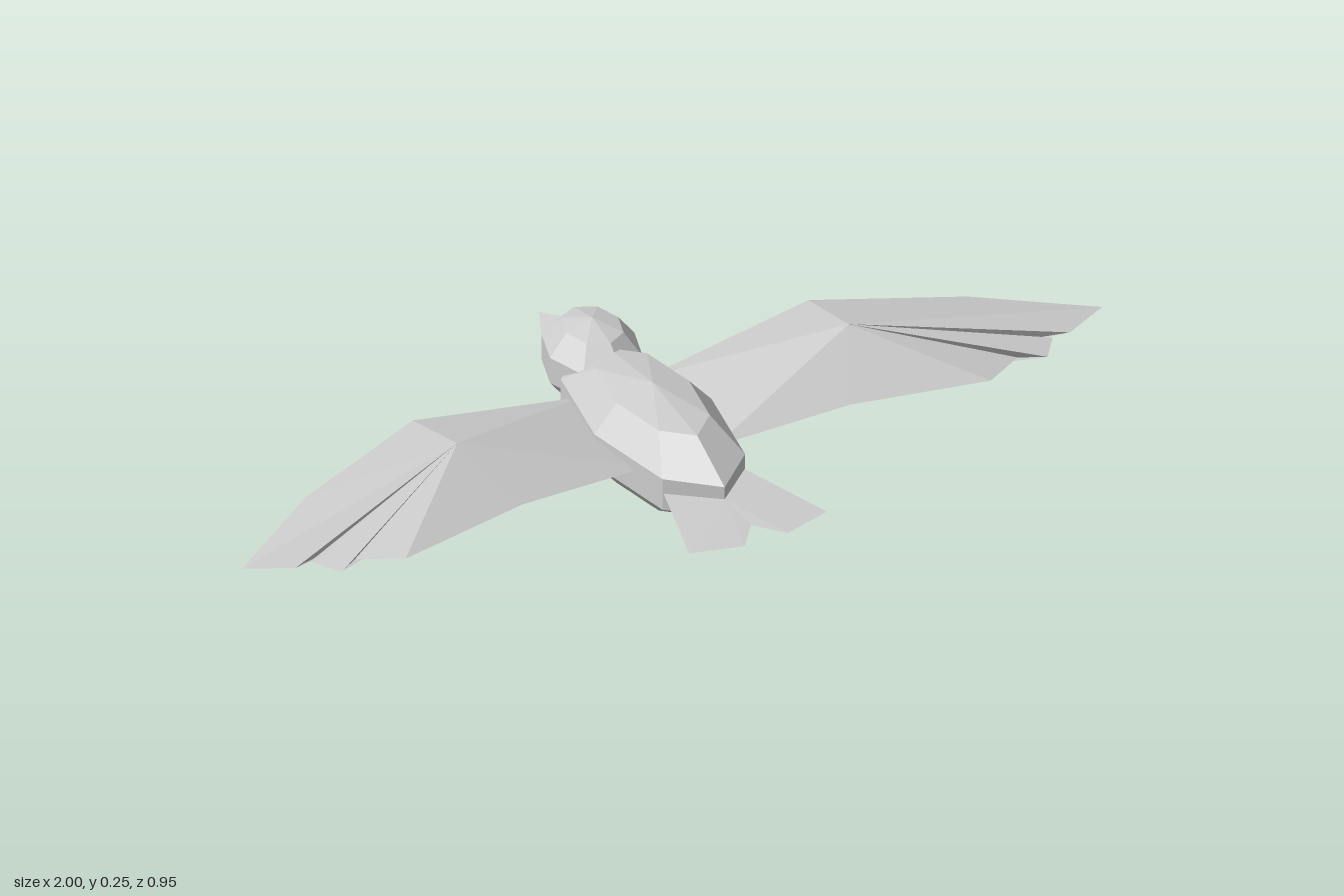
import * as THREE from 'three';

const plumage = new THREE.MeshStandardMaterial({ color: 0xcccccc, flatShading: true });
plumage.name = 'pale grey';

// Faceted ellipsoid: 8 sides, 5 bands
function ellipsoid(name, radii, centre) {
  const g = new THREE.SphereGeometry(1, 8, 5);
  g.scale(...radii);
  const m = new THREE.Mesh(g, plumage);
  m.name = name;
  m.position.set(...centre);
  return m;
}

// Closed solid: an outline (counter-clockwise from above) fanned to a top and a bottom point
function fanSolid(name, outline, top, bottom) {
  const pos = [];
  outline.forEach((a, i) => {
    const b = outline[(i + 1) % outline.length];
    pos.push(...top, ...a, ...b, ...bottom, ...b, ...a);
  });
  const g = new THREE.BufferGeometry();
  g.setAttribute('position', new THREE.Float32BufferAttribute(pos, 3));
  g.computeVertexNormals();
  const m = new THREE.Mesh(g, plumage);
  m.name = name;
  return m;
}

const flip = ([x, y, z]) => [-x, y, z];

export function createModel() {
  const bird = new THREE.Group();
  bird.name = 'bird';

  bird.add(ellipsoid('body', [0.143, 0.12, 0.316], [0, 0.123, 0]));
  bird.add(ellipsoid('head', [0.103, 0.098, 0.131], [0, 0.158, -0.254]));

  // Beak with a ridge on top and a flat underside
  bird.add(fanSolid('beak',
    [[0.065, 0.13, -0.335], [0, 0.141, -0.478], [-0.065, 0.13, -0.335]],
    [0, 0.19, -0.372], [0, 0.13, -0.36]));

  // Forked tail, flat above and keeled below
  const tailSide = [[0.09, 0.125, 0.2], [0.16, 0.13, 0.44], [0.05, 0.133, 0.475]];
  bird.add(fanSolid('tail',
    [...tailSide.map(flip), [0, 0.131, 0.41], ...tailSide.slice().reverse()],
    [0, 0.131, 0.3], [0, 0.071, 0.25]));

  // Wings: root, trailing edge, notched feathers, tip, leading edge
  const wing = [
    [0.08, 0.13, 0.118], [0.38, 0.148, 0.14], [0.68, 0.14, 0.19],
    [0.77, 0.139, 0.14], [0.82, 0.145, 0.176],
    [0.86, 0.15, 0.125], [0.845, 0.145, 0.105], [0.9, 0.15, 0.125],
    [1, 0.154, 0.08], [0.77, 0.167, -0.07], [0.46, 0.195, -0.178], [0.08, 0.139, -0.163],
  ];
  const peak = [0.455, 0.24, 0];
  const belly = [0.42, 0.107, 0];
  bird.add(fanSolid('leftWing', wing, peak, belly));
  bird.add(fanSolid('rightWing', wing.map(flip).reverse(), flip(peak), flip(belly)));

  return bird;
}
